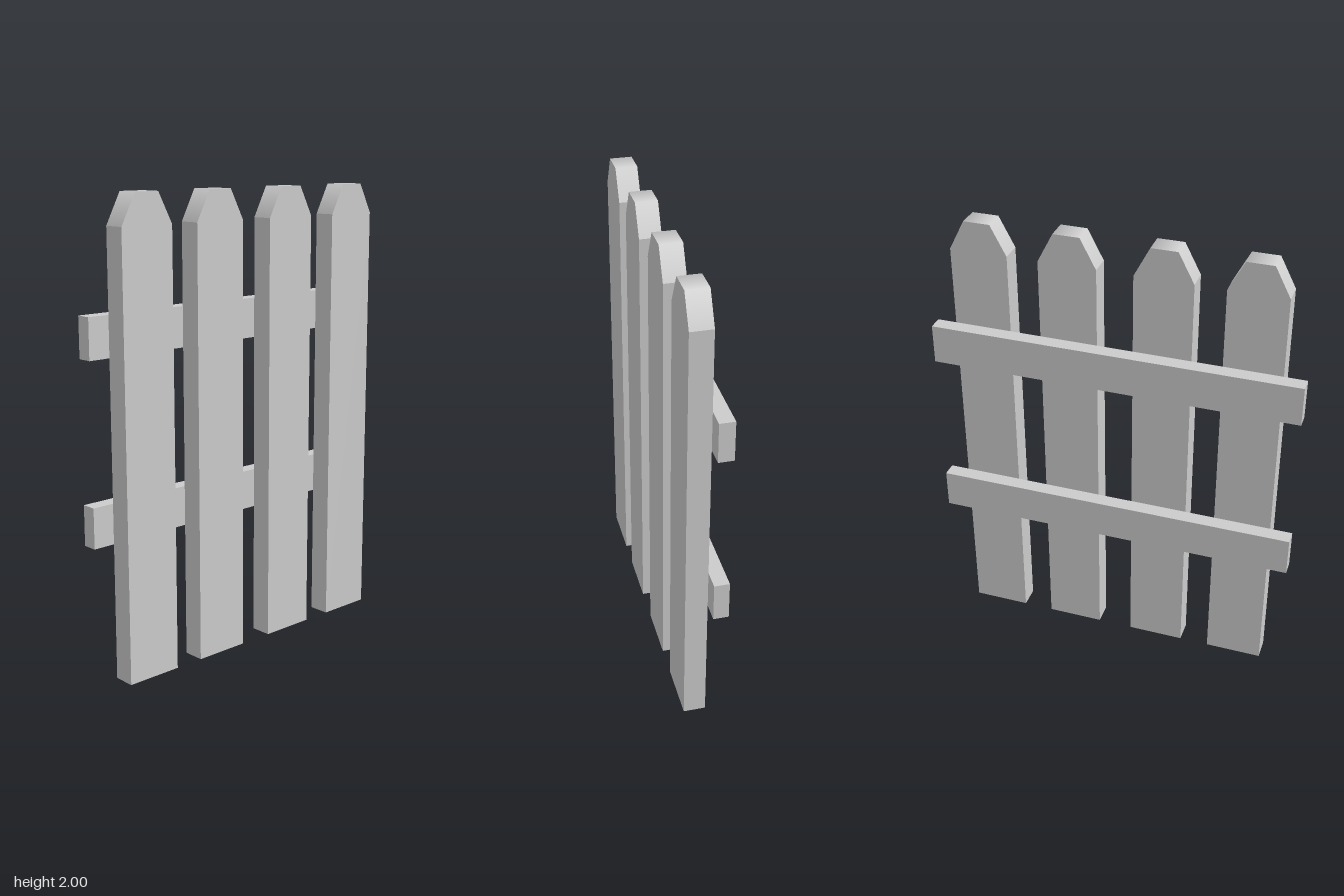
import * as THREE from 'three';

const material = new THREE.MeshStandardMaterial({ color: 0xcccccc });

// Pointed board with a clipped tip, facing +x
function picketGeometry() {
  const half = 0.125, tip = 0.057, shoulder = 1.87, top = 2, depth = 0.095;
  const outline = new THREE.Shape([
    [-half, 0], [half, 0], [half, shoulder], [tip, top], [-tip, top], [-half, shoulder],
  ].map(([x, y]) => new THREE.Vector2(x, y)));
  const geometry = new THREE.ExtrudeGeometry(outline, { depth, bevelEnabled: false });
  geometry.rotateY(Math.PI / 2).translate(-0.015, 0, 0);

  // Soften the two tip edges so the slopes shade smoothly into the flat top
  const pos = geometry.attributes.position, normal = geometry.attributes.normal;
  const halfAngle = Math.atan2(top - shoulder, half - tip) / 2;
  for (let i = 0; i < pos.count; i++) {
    if (pos.getY(i) > top - 0.001 && Math.abs(normal.getX(i)) < 0.5) {
      normal.setXYZ(i, 0, Math.cos(halfAngle), Math.sign(pos.getZ(i)) * Math.sin(halfAngle));
    }
  }
  return geometry;
}

export function createModel() {
  const fence = new THREE.Group();
  fence.name = 'picketFence';

  // Upright pickets
  const picket = picketGeometry();
  [0.578, 0.198, -0.207, -0.591].forEach((z, i) => {
    const mesh = new THREE.Mesh(picket, material);
    mesh.name = `picket${i + 1}`;
    mesh.position.z = z;
    fence.add(mesh);
  });

  // Horizontal rails behind the pickets
  const rail = new THREE.BoxGeometry(0.065, 0.172, 1.6);
  for (const [name, y] of [['lowerRail', 0.672], ['upperRail', 1.44]]) {
    const mesh = new THREE.Mesh(rail, material);
    mesh.name = name;
    mesh.position.set(-0.0475, y, 0);
    fence.add(mesh);
  }
  return fence;
}
